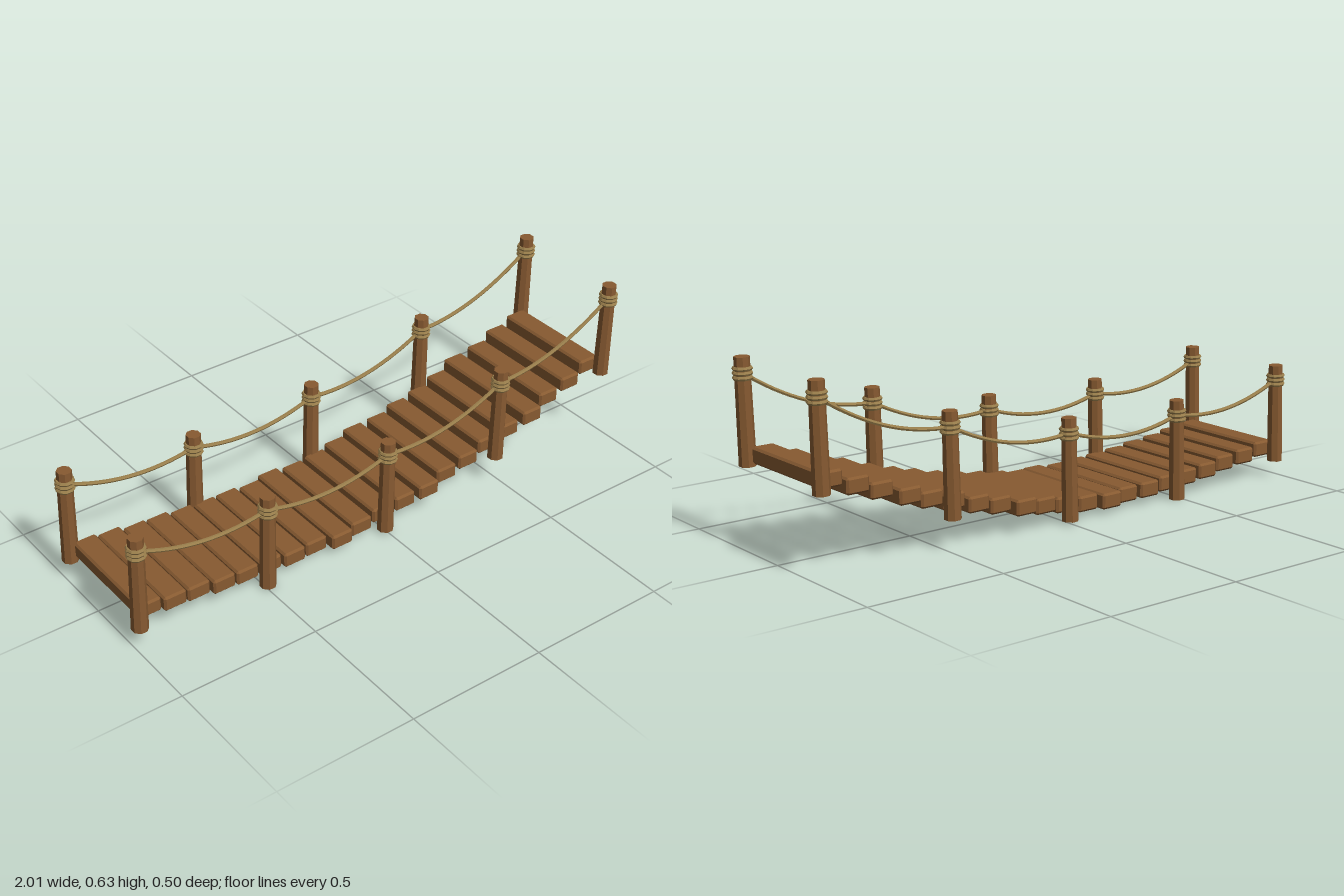
import * as THREE from 'three';
import { ConvexGeometry } from 'three/addons/geometries/ConvexGeometry.js';

const SIDE = 0.217;          // distance of the posts and ropes from the centre line
const POST_HEIGHT = 0.355;
const TIE_HEIGHT = 0.302;    // where the rope is tied, above the foot of the post

// Box with all its edges chamfered
function chamferedBox(w, h, d, c) {
  const points = [];
  for (const x of [-w / 2, w / 2]) for (const y of [-h / 2, h / 2]) for (const z of [-d / 2, d / 2]) {
    const [ix, iy, iz] = [x - Math.sign(x) * c, y - Math.sign(y) * c, z - Math.sign(z) * c];
    points.push(new THREE.Vector3(x, iy, iz), new THREE.Vector3(ix, y, iz), new THREE.Vector3(ix, iy, z));
  }
  return new ConvexGeometry(points);
}

export function createModel() {
  const wood = new THREE.MeshStandardMaterial({ color: 0x875a31 });
  wood.name = 'wood';
  wood.flatShading = true;
  const hemp = new THREE.MeshStandardMaterial({ color: 0x9a7f4c });
  hemp.name = 'hemp';
  hemp.flatShading = true;

  const bridge = new THREE.Group();
  bridge.name = 'ropeBridge';
  const add = (parent, name, geometry, material, x = 0, y = 0, z = 0) => {
    const mesh = new THREE.Mesh(geometry, material);
    mesh.name = name;
    mesh.position.set(x, y, z);
    parent.add(mesh);
    return mesh;
  };

  // Planks stepping along the sagging deck
  const deck = new THREE.Group();
  deck.name = 'deck';
  bridge.add(deck);
  const heights = [0.108, 0.095, 0.084, 0.073, 0.064, 0.058, 0.052, 0.049, 0.048, 0.051, 0.056,
    0.063, 0.076, 0.091, 0.110, 0.132, 0.156, 0.181, 0.211, 0.242, 0.274, 0.307].filter((_, i) => i !== 10);
  const longPlanks = [8, 12, 17];
  heights.forEach((y, i) => {
    const length = longPlanks.includes(i) ? 0.448 : 0.412 + 0.008 * Math.sin(i * 2.4);
    add(deck, 'plank', chamferedBox(0.083, 0.055, length, 0.007), wood, (i - 10) * 0.0923, y, 0);
  });

  // Posts, their rope lashings and the hanging hand ropes on both sides
  const feet = [0.06, 0, 0.01, 0.105, 0.27];
  const footX = (i) => (i - 2) * 0.485 - 0.002;
  const postGeometry = new THREE.CylinderGeometry(0.026, 0.029, POST_HEIGHT, 8);
  postGeometry.rotateY(Math.PI / 8);
  postGeometry.translate(0, POST_HEIGHT / 2, 0);
  const lashGeometry = new THREE.TorusGeometry(0.0265, 0.0075, 6, 10);
  lashGeometry.rotateX(Math.PI / 2);

  for (const side of [1, -1]) {
    const railing = new THREE.Group();
    railing.name = side > 0 ? 'frontRailing' : 'backRailing';
    railing.position.z = side * SIDE;
    bridge.add(railing);

    feet.forEach((y, i) => {
      const post = add(railing, 'post', postGeometry, wood, footX(i), y, 0);
      post.rotation.z = -0.025;
      for (const offset of [-0.015, 0, 0.015]) {
        add(post, 'lashing', lashGeometry, hemp, 0, TIE_HEIGHT + offset, 0);
      }
    });

    for (let i = 0; i < feet.length - 1; i++) {
      const a = new THREE.Vector3(footX(i) + 0.007, feet[i] + TIE_HEIGHT, 0);
      const b = new THREE.Vector3(footX(i + 1) + 0.007, feet[i + 1] + TIE_HEIGHT, 0);
      const middle = a.clone().lerp(b, 0.5);
      middle.y -= 0.084;
      const curve = new THREE.QuadraticBezierCurve3(a, middle, b);
      add(railing, 'handRope', new THREE.TubeGeometry(curve, 16, 0.007, 6), hemp);
    }
  }
  return bridge;
}
